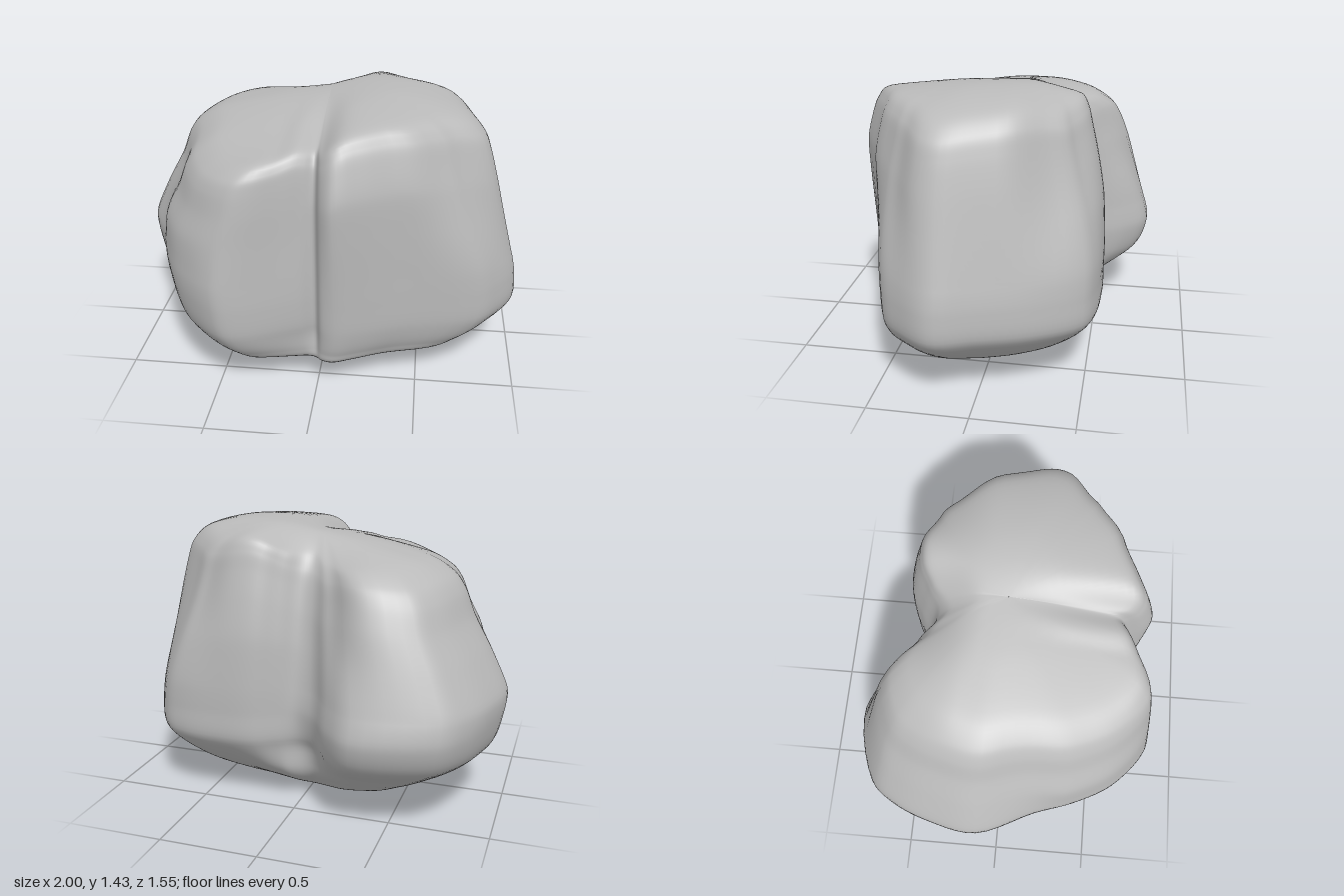
import * as THREE from 'three';
import { mergeVertices } from 'three/addons/utils/BufferGeometryUtils.js';

const V = (x, y, z) => new THREE.Vector3(x, y, z);
const { smoothstep: smooth, lerp } = THREE.MathUtils;

// Widest plan outline (x, z): two lobes with a broad rear groove and a tight front crease
const OUTLINE = [
  [-1, -.1], [-.96, -.35], [-.88, -.55], [-.77, -.68], [-.37, -.77], [-.22, -.66], [-.1, -.5], [0, -.46],
  [.1, -.5], [.22, -.56], [.42, -.57], [.6, -.55], [.71, -.5], [.85, -.27], [.94, 0], [1, .2],
  [.9, .38], [.8, .48], [.45, .58], [.25, .66], [.1, .71], [.03, .68], [-.01, .61], [-.08, .64],
  [-.2, .69], [-.42, .77], [-.5, .76], [-.69, .6], [-.8, .4], [-.87, .2],
];

// Height; share of the outline reached sideways (left, right), forward (left, right) and back (left, right)
const LEVELS = [
  [0, 0, 0, 0, 0, 0, 0],
  [.01, .42, .4, .3, .28, .3, .3],
  [.1, .7, .61, .84, .76, .56, .47],
  [.2, .84, .77, .91, .88, .76, .64],
  [.35, .985, .94, .945, .98, .97, .92],
  [.5, .99, .99, .96, 1, .985, 1],
  [.65, .96, 1, .975, .995, .985, .96],
  [.9, .905, .91, 1, .97, .96, .895],
  [1.1, .86, .82, 1.01, .95, .9, .84],
  [1.25, .82, .77, .965, .93, .84, .78],
  [1.34, .78, .71, .92, .9, .8, .72],
  [1.405, .67, .58, .83, .8, .72, .6],
  [1.43, .35, .3, .42, .4, .4, .33],
  [1.43, 0, 0, 0, 0, 0, 0],
];

// Height of the upper surface: tall left lobe, lower right lobe, front crease and shallow rear groove
function topHeight(x, z) {
  const front = smooth(z, -.1, .6);
  const crease = .07 * Math.exp(-((x / .08) ** 2)) * smooth(z, -.1, .55);
  const groove = .12 * Math.exp(-(((x + .05) / .2) ** 2)) * smooth(-z, .12, .45);
  const left = 1.435 - .065 * ((x - .35) / .4) ** 2 - .03 * front
    - .08 * smooth(x, .15, .5) * smooth(-z, .1, .45);
  const right = 1.385 + .16 * x - .03 * front
    - smooth(-x, 0, .2) * (.06 * front + .05 * smooth(-z, .2, .6));
  return (x > 0 ? left : right) - crease - groove;
}

// Fades the groove and crease out toward the underside
function fillNotch(p, y) {
  const fill = 1 - smooth(y, .08, .34);
  if (p.z < 0 && p.x > -.37 && p.x < .42) return lerp(p.z, Math.min(p.z, -.676 + .253 * p.x), fill);
  if (p.z > 0 && p.x > -.42 && p.x < .1) return lerp(p.z, Math.max(p.z, .72 - .115 * p.x), fill * .8);
  return p.z;
}

// Upright right front corner; left corners and the groove flank lean in with height
function shapeCorners(p, y) {
  const upper = smooth(y, .6, 1.25);
  const upright = .1 * smooth(Math.abs(y - .5), .1, .5) * smooth(-p.x, .3, .6) * smooth(p.z, 0, .4);
  const leftBack = .1 * upper * smooth(p.x, .35, .65) * smooth(-p.z, .1, .45);
  const leftFront = .09 * upper * smooth(p.x, .5, .8) * smooth(p.z, .25, .45);
  const flank = p.z < 0 ? .14 * upper * Math.exp(-(((p.x + .28) / .14) ** 2)) : 0;
  const lean = 1 - leftBack - leftFront;
  return V(p.x * lean * (1 + upright), 0, p.z * lean * (1 - flank));
}

function createRockGeometry() {
  const AROUND = 150, UP = 78;
  const column = (a, b) => new THREE.CatmullRomCurve3(
    LEVELS.map((l) => V(l[0], l[a], l[b])), false, 'catmullrom', .4);
  const outline = new THREE.CatmullRomCurve3(OUTLINE.map(([x, z]) => V(x, 0, z)), true, 'centripetal');
  const sides = column(1, 2), fronts = column(3, 4), backs = column(5, 6);
  const positions = [], index = [];
  for (let k = 0; k <= UP; k++) {
    const side = sides.getPoint(k / UP), front = fronts.getPoint(k / UP), back = backs.getPoint(k / UP);
    for (let j = 0; j < AROUND; j++) {
      const p = shapeCorners(outline.getPoint(j / AROUND), side.x);
      const x = p.x * (p.x > 0 ? side.y : side.z);
      const depth = p.z > 0 ? front : back;
      const z = fillNotch(p, side.x) * lerp(depth.z, depth.y, smooth(p.x, -.1, .1));
      let y = side.x;
      if (y > .6) y = .6 + (y - .6) * (topHeight(x, z) - .6) / .83;
      else y += (.04 * Math.max(0, x) + .1 * Math.max(0, z)) * (1 - smooth(y, 0, .3));
      positions.push(x, Math.max(0, y), z);
      if (k < UP) {
        const a = k * AROUND + j, b = k * AROUND + (j + 1) % AROUND;
        if (k < UP - 1) index.push(a, a + AROUND, b + AROUND);
        if (k > 0) index.push(a, b + AROUND, b);
      }
    }
  }
  let geometry = new THREE.BufferGeometry();
  geometry.setAttribute('position', new THREE.Float32BufferAttribute(positions, 3));
  geometry.setIndex(index);
  geometry = mergeVertices(geometry, 1e-5);
  geometry.computeVertexNormals();
  return geometry;
}

export function createModel() {
  const model = new THREE.Group();
  model.name = 'boulder';
  const stone = new THREE.MeshStandardMaterial({ color: 0xbababa });
  stone.name = 'stone grey';
  const rock = new THREE.Mesh(createRockGeometry(), stone);
  rock.name = 'rock';
  model.add(rock);
  return model;
}
